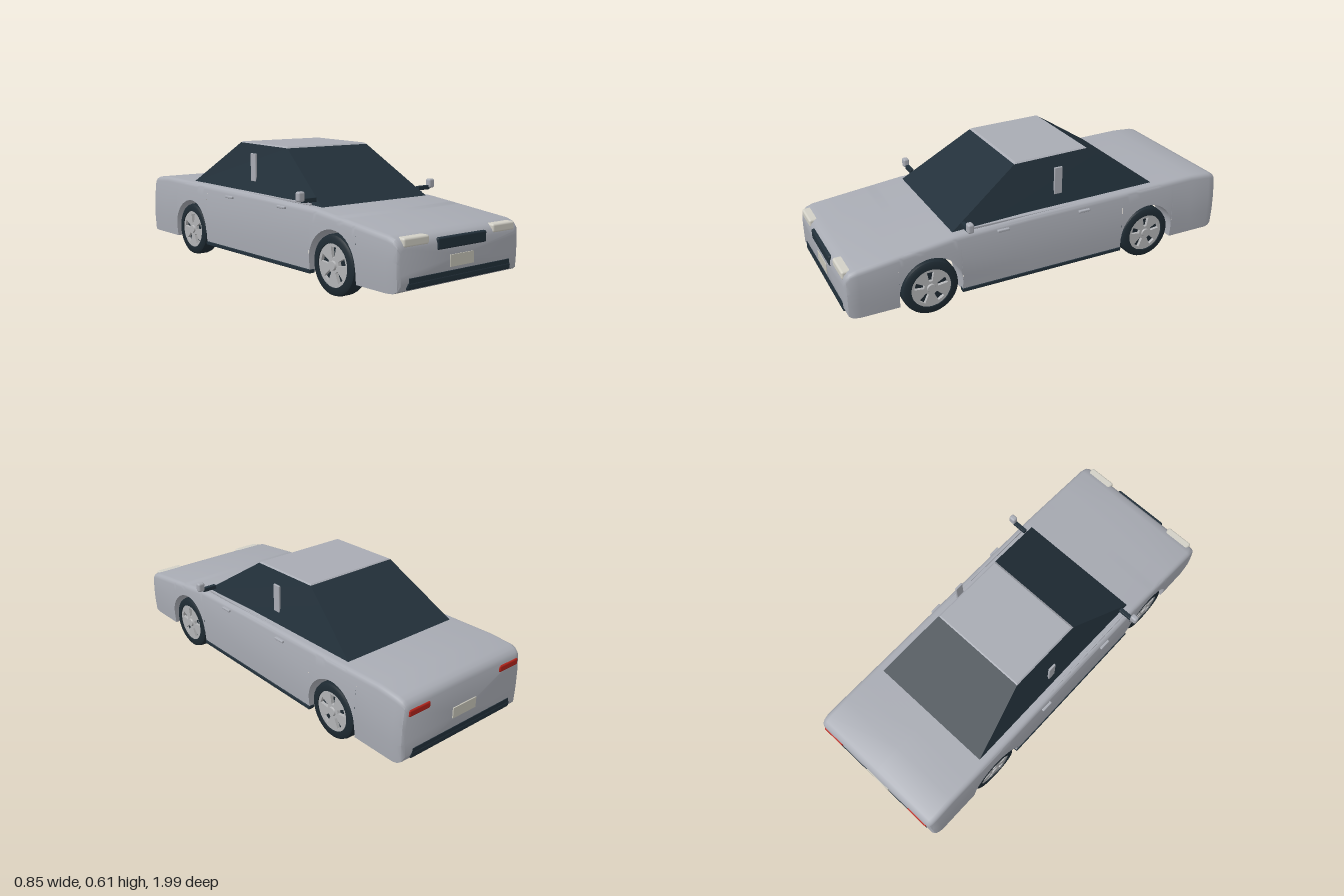
import * as THREE from 'three';
import { toCreasedNormals } from 'three/addons/utils/BufferGeometryUtils.js';
import { RoundedBoxGeometry } from 'three/addons/geometries/RoundedBoxGeometry.js';

const mat = (name, color, side = THREE.FrontSide) => {
  const m = new THREE.MeshStandardMaterial({ color, side });
  m.name = name;
  return m;
};

const FLOOR = 0.08, WELL_X = 0.26, ARCH_R = 0.152, ARCH_Y = 0.138;
const AXLES = [-0.56, 0.6];

// Body stations from tail to nose: z, underside, deck height, side inset
const STATIONS = [
  [-0.99, 0.115, 0.345, 0.026], [-0.982, 0.094, 0.362, 0.012], [-0.965, 0.083, 0.375, 0.004],
  [-0.94, FLOOR, 0.383, 0], [-0.83, FLOOR, 0.391, 0], [-0.6, FLOOR, 0.386, 0],
  [0.1, FLOOR, 0.377, 0], [0.47, FLOOR, 0.365, 0], [0.93, FLOOR, 0.312, 0],
  [0.965, 0.083, 0.301, 0.004], [0.982, 0.094, 0.284, 0.012], [0.99, 0.115, 0.26, 0.026],
];

function stationAt(z) {
  const i = Math.max(1, STATIONS.findIndex((s) => s[0] >= z));
  const a = STATIONS[i - 1], b = STATIONS[i];
  const t = (z - a[0]) / (b[0] - a[0]);
  return a.map((v, k) => v + (b[k] - v) * t);
}

// Half a cross-section, from the middle of the floor round to the middle of the deck
function halfRing([z, lo, hi, inset], sill = lo) {
  const R = 0.024;
  const width = (y) => 0.382 - 0.5 * (y - 0.2) ** 2 - inset;
  const pts = [[0, lo], [WELL_X, lo], [WELL_X, sill], [width(sill), sill]];
  const shoulder = hi - R;
  for (const t of [0.33, 0.67]) {
    const y = sill + (shoulder - sill) * t;
    pts.push([width(y), y]);
  }
  for (let k = 0; k <= 4; k++) {
    const a = (k / 4) * Math.PI / 2;
    pts.push([width(shoulder) - R + R * Math.cos(a), shoulder + R * Math.sin(a)]);
  }
  pts.push([0, hi]);
  return pts.map(([x, y]) => [x, y, z]);
}

// Hollow body shell whose lower edge rises over the wheels
function bodyGeometry() {
  const rings = [];
  const inArch = (z) => AXLES.some((c) => Math.abs(z - c) <= ARCH_R);
  const keys = STATIONS.filter((s) => !inArch(s[0])).map((s) => ({ z: s[0], make: () => [halfRing(s)] }));
  for (const c of AXLES) {
    keys.push({
      z: c,
      make: () => {
        const out = [halfRing(stationAt(c - ARCH_R))];
        for (let k = 0; k <= 20; k++) {
          const a = Math.PI * (1 - k / 20);
          out.push(halfRing(stationAt(c + ARCH_R * Math.cos(a)), ARCH_Y + ARCH_R * Math.sin(a)));
        }
        out.push(halfRing(stationAt(c + ARCH_R)));
        return out;
      },
    });
  }
  keys.sort((a, b) => a.z - b.z).forEach((k) => rings.push(...k.make()));

  const pos = [];
  const flip = ([x, y, z]) => [-x, y, z];
  const tri = (a, b, c) => pos.push(...a, ...b, ...c, ...flip(a), ...flip(c), ...flip(b));
  for (let i = 0; i < rings.length - 1; i++) {
    const p = rings[i], q = rings[i + 1];
    const wall = Math.abs(p[0][2] - q[0][2]) < 1e-6;
    for (let k = 0; k < p.length - 1; k++) {
      if (k === 1 || (wall && k !== 2)) continue; // wells stay open on the inside
      tri(p[k], p[k + 1], q[k + 1]);
      tri(p[k], q[k + 1], q[k]);
    }
  }
  // Nose and tail caps
  const tail = rings[0], nose = rings[rings.length - 1];
  for (let k = 0; k < nose.length - 1; k++) {
    if (k === 1) continue;
    tri([0, 0.2, nose[0][2]], nose[k], nose[k + 1]);
    tri([0, 0.2, tail[0][2]], tail[k + 1], tail[k]);
  }
  const g = new THREE.BufferGeometry();
  g.setAttribute('position', new THREE.Float32BufferAttribute(pos, 3));
  return toCreasedNormals(g, 0.6);
}

// Box whose top and bottom faces are given as half-width, front z, rear z, front y, rear y
function taperedBox(bottom, top) {
  const g = new THREE.BoxGeometry(1, 1, 1);
  const p = g.attributes.position;
  for (let i = 0; i < p.count; i++) {
    const [w, zf, zr, yf, yr] = p.getY(i) > 0 ? top : bottom;
    const front = p.getZ(i) > 0;
    p.setXYZ(i, Math.sign(p.getX(i)) * w, front ? yf : yr, front ? zf : zr);
  }
  g.computeVertexNormals();
  return g;
}

export function createModel() {
  const paint = mat('silverPaint', 0xa8abb3);
  const dark = mat('darkGlassAndTrim', 0x22303a);
  const rubber = mat('tyreRubber', 0x1e2a32);
  const alloy = mat('alloy', 0xb2b3b5);
  const lamp = mat('headlightLens', 0xd2d0c6);
  const plate = mat('plateCream', 0xc6c4b8);
  const red = mat('tailLightRed', 0xb4241b);

  const car = new THREE.Group();
  car.name = 'car';
  const add = (name, geometry, material, parent = car) => {
    const m = new THREE.Mesh(geometry, material);
    m.name = name;
    parent.add(m);
    return m;
  };
  // Rounded block from centre and size
  const block = (name, material, [x, y, z], [w, h, d], r = 0.006) => {
    const radius = Math.min(r, w * 0.49, h * 0.49, d * 0.49);
    add(name, new RoundedBoxGeometry(w, h, d, 2, radius), material).position.set(x, y, z);
  };

  add('body', bodyGeometry(), paint);

  // Cabin glass and roof panel
  add('cabinGlass', taperedBox([0.325, 0.475, -0.615, 0.362, 0.38], [0.251, 0.122, -0.268, 0.599, 0.608]), dark);
  add('roof', taperedBox([0.251, 0.122, -0.268, 0.599, 0.608], [0.244, 0.112, -0.262, 0.606, 0.613]), paint);

  // Nose and tail details
  block('grille', dark, [0, 0.26, 0.975], [0.3, 0.051, 0.04], 0.008);
  block('frontPlate', plate, [0, 0.181, 0.989], [0.146, 0.052, 0.008], 0.001);
  block('rearPlate', plate, [0, 0.215, -0.991], [0.146, 0.052, 0.008], 0.001);
  for (const [end, z] of [['front', 0.97], ['rear', -0.97]]) {
    block(end + 'BumperStrip', dark, [0, 0.109, z], [0.64, 0.032, 0.046], 0.01);
    block(end + 'BumperTop', dark, [0, 0.13, z], [0.62, 0.022, 0.044], 0.002);
  }

  // Paired parts
  for (const [side, s] of [['left', 1], ['right', -1]]) {
    block(side + 'Headlight', lamp, [s * 0.268, 0.285, 0.963], [0.145, 0.04, 0.055], 0.01);
    block(side + 'TailLight', red, [s * 0.282, 0.32, -0.978], [0.124, 0.033, 0.036], 0.008);
    block(side + 'MirrorArm', dark, [s * 0.358, 0.395, 0.418], [0.075, 0.02, 0.02], 0.002);
    block(side + 'Mirror', paint, [s * 0.407, 0.414, 0.42], [0.037, 0.046, 0.03], 0.01);
    block(side + 'Pillar', paint, [s * 0.302, 0.497, -0.083], [0.011, 0.136, 0.042], 0.003);
    block(side + 'Sill', dark, [s * 0.365, 0.083, 0.02], [0.03, 0.018, 0.86], 0.003);
    block(side + 'BeltTrim', paint, [s * 0.346, 0.375, 0.09], [0.01, 0.01, 0.66], 0.002);
    for (const z of [0.24, -0.19]) block(side + 'DoorHandle', paint, [s * 0.375, 0.345, z], [0.016, 0.012, 0.06], 0.004);
  }

  // Wheels, built with the outer face towards +x
  const tyreProfile = [
    [0, -0.043], [0.12, -0.043], [0.131, -0.036], [0.135, -0.022], [0.135, 0.022],
    [0.131, 0.036], [0.12, 0.043], [0.096, 0.043], [0.094, 0.02], [0, 0.02],
  ].map(([r, y]) => new THREE.Vector2(r, y));
  const tyre = toCreasedNormals(new THREE.LatheGeometry(tyreProfile, 40).rotateZ(-Math.PI / 2), 0.7);
  const disc = new THREE.Shape().absarc(0, 0, 0.096, 0, Math.PI * 2);
  for (let k = 0; k < 5; k++) {
    const a = (k / 5) * Math.PI * 2 + Math.PI / 2;
    const at = (r, t) => new THREE.Vector2(r * Math.cos(a) - t * Math.sin(a), r * Math.sin(a) + t * Math.cos(a));
    disc.holes.push(new THREE.Path([at(0.034, -0.008), at(0.034, 0.008), at(0.08, 0.017), at(0.08, -0.017)]));
  }
  const rim = toCreasedNormals(
    new THREE.ExtrudeGeometry(disc, { depth: 0.016, bevelEnabled: false, curveSegments: 40 })
      .translate(0, 0, 0.022).rotateY(Math.PI / 2), 0.5);
  const hub = new THREE.CylinderGeometry(0.018, 0.022, 0.008, 20).rotateZ(-Math.PI / 2).translate(0.041, 0, 0);
  for (const [end, z] of [['rear', AXLES[0]], ['front', AXLES[1]]]) {
    for (const [side, s] of [['Left', 1], ['Right', -1]]) {
      const wheel = new THREE.Group();
      wheel.name = end + side + 'Wheel';
      add('tyre', tyre, rubber, wheel);
      add('rim', rim, alloy, wheel);
      add('hub', hub, alloy, wheel);
      wheel.position.set(s * 0.331, 0.135, z);
      if (s < 0) wheel.rotation.y = Math.PI;
      car.add(wheel);
    }
  }
  return car;
}
